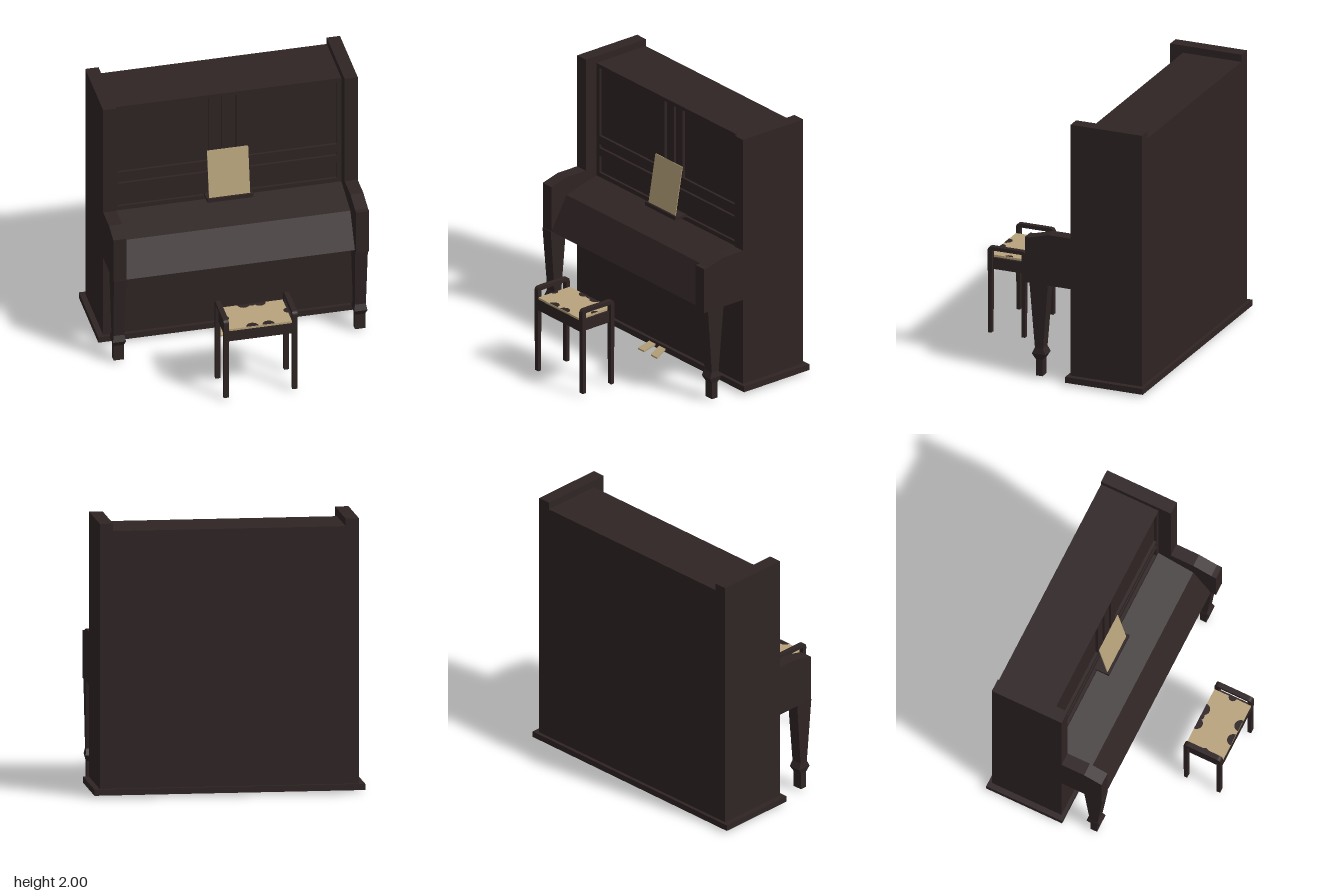
import * as THREE from 'three';

const wood = new THREE.MeshStandardMaterial({ color: 0x2f2424 });
wood.name = 'darkWood';
const cream = new THREE.MeshStandardMaterial({ color: 0xb8a37c, side: THREE.DoubleSide });
cream.name = 'cream';

function add(parent, name, geometry, material = wood) {
  const mesh = new THREE.Mesh(geometry, material);
  mesh.name = name;
  parent.add(mesh);
  return mesh;
}

// Box given by its limits on each axis
function span(parent, name, [x0, x1], [y0, y1], [z0, z1], material) {
  const g = new THREE.BoxGeometry(x1 - x0, y1 - y0, z1 - z0);
  g.translate((x0 + x1) / 2, (y0 + y1) / 2, (z0 + z1) / 2);
  return add(parent, name, g, material);
}

const polygon = (points) => new THREE.Shape(points.map(([a, b]) => new THREE.Vector2(a, b)));

// Outline in (z, y), extruded along x from x0 to x1
function sideExtrude(shape, x0, x1) {
  const g = new THREE.ExtrudeGeometry(shape, { depth: x1 - x0, bevelEnabled: false, curveSegments: 6 });
  g.rotateY(-Math.PI / 2);
  g.translate(x1, 0, 0);
  return g;
}

// Tapered square leg made of stacked rectangular sections [y, halfX, halfZ]
function legGeometry(sections) {
  const pos = [];
  const ring = ([y, a, b]) => [[-a, y, b], [a, y, b], [a, y, -b], [-a, y, -b]];
  const quad = (a, b, c, d) => pos.push(...a, ...b, ...c, ...a, ...c, ...d);
  const rings = sections.map(ring);
  for (let i = 0; i < rings.length - 1; i++) {
    for (let k = 0; k < 4; k++) {
      const n = (k + 1) % 4;
      quad(rings[i][k], rings[i][n], rings[i + 1][n], rings[i + 1][k]);
    }
  }
  const [a, b, c, d] = rings[0];
  quad(d, c, b, a);
  quad(...rings[rings.length - 1]);
  const g = new THREE.BufferGeometry();
  g.setAttribute('position', new THREE.Float32BufferAttribute(pos, 3));
  g.computeVertexNormals();
  return g;
}

function buildCase(root) {
  const group = new THREE.Group();
  group.name = 'pianoCase';
  root.add(group);
  span(group, 'plinth', [-0.985, 0.985], [0.02, 0.065], [-0.765, -0.155]);
  span(group, 'lowerCase', [-0.845, 0.845], [0.065, 0.74], [-0.74, -0.182]);
  span(group, 'upperCase', [-0.845, 0.845], [0.74, 1.93], [-0.74, -0.3]);
  span(group, 'lid', [-0.845, 0.845], [1.93, 1.945], [-0.74, -0.28]);
  for (const s of [-1, 1]) {
    const xs = [s * 0.845, s * 0.943].sort((a, b) => a - b);
    span(group, 'sidePanel', xs, [0.065, 2], [-0.74, -0.18]);
  }

  // Front frame with sunken panels and grooves
  const frame = polygon([[-0.845, 1.04], [0.845, 1.04], [0.845, 1.93], [-0.845, 1.93]]);
  const openings = [
    [-0.81, -0.14, 1.38, 1.918], [0.135, 0.81, 1.38, 1.918],
    [-0.07, -0.038, 1.38, 1.918], [0.035, 0.067, 1.38, 1.918],
    [-0.81, 0.81, 1.283, 1.315], [-0.81, 0.81, 1.088, 1.222],
  ];
  for (const [x0, x1, y0, y1] of openings) {
    frame.holes.push(new THREE.Path([[x0, y0], [x0, y1], [x1, y1], [x1, y0]].map((p) => new THREE.Vector2(...p))));
  }
  const frameGeo = new THREE.ExtrudeGeometry(frame, { depth: 0.022, bevelEnabled: false });
  frameGeo.translate(0, 0, -0.302);
  add(group, 'frontFrame', frameGeo);

  // Sloping key cover
  const cover = polygon([[-0.3, 0.73], [0.14, 0.73], [0, 0.98], [-0.28, 1.055], [-0.3, 1.055]]);
  add(group, 'keyCover', sideExtrude(cover, -0.845, 0.845));

  // Arms; the left one reaches a little further forward
  const rightArm = polygon([[-0.19, 0.73], [0.14, 0.73], [0.14, 1.082], [0, 1.12], [-0.19, 1.12]]);
  const leftArm = polygon([[-0.19, 0.73], [0.182, 0.73], [0.182, 1.078], [0.145, 1.08], [0, 1.12], [-0.19, 1.12]]);
  add(group, 'rightArm', sideExtrude(rightArm, -0.943, -0.845));
  add(group, 'leftArm', sideExtrude(leftArm, 0.845, 0.941));

  // Front legs with a knuckle above the foot
  const leg = legGeometry([
    [0.02, 0.038, 0.026], [0.145, 0.038, 0.026], [0.19, 0.048, 0.053],
    [0.235, 0.041, 0.032], [0.73, 0.047, 0.072],
  ]);
  for (const s of [-1, 1]) add(group, 'frontLeg', leg).position.set(s * 0.894, 0, 0.073);
}

function buildMusicStand(root) {
  const group = new THREE.Group();
  group.name = 'musicStand';
  root.add(group);
  span(group, 'shelf', [-0.17, 0.17], [1.085, 1.105], [-0.285, -0.18]);
  span(group, 'shelfLip', [-0.17, 0.17], [1.105, 1.115], [-0.195, -0.18]);
  // Leaning sheet
  const tilt = Math.atan2(0.065, 0.37);
  const sheet = add(group, 'sheetMusic', new THREE.BoxGeometry(0.305, 0.376, 0.006), cream);
  sheet.position.set(-0.002, 1.293, -0.233);
  sheet.rotation.x = -tilt;
}

function buildPedals(root) {
  for (const s of [-1, 1]) {
    // Skewed plate splaying outward toward the tip
    const g = new THREE.BoxGeometry(0.072, 0.012, 0.1);
    const p = g.attributes.position;
    for (let i = 0; i < p.count; i++) {
      const t = p.getZ(i) / 0.1;
      p.setX(i, p.getX(i) + s * 0.02 * t);
      p.setY(i, p.getY(i) - 0.038 * t);
    }
    g.computeVertexNormals();
    add(root, 'pedal', g, cream).position.set(s * 0.064, 0.025, -0.112);
  }
}

function buildStool(root) {
  const group = new THREE.Group();
  group.name = 'stool';
  group.position.z = 0.618;
  root.add(group);

  // Each end is an arch of two legs and a rounded handrail
  const arch = new THREE.Shape();
  arch.moveTo(-0.145, 0.02);
  arch.lineTo(-0.118, 0.02);
  arch.lineTo(-0.116, 0.655);
  arch.lineTo(0.116, 0.655);
  arch.lineTo(0.118, 0.02);
  arch.lineTo(0.145, 0.02);
  arch.lineTo(0.149, 0.65);
  arch.quadraticCurveTo(0.149, 0.683, 0.116, 0.683);
  arch.lineTo(-0.116, 0.683);
  arch.quadraticCurveTo(-0.149, 0.683, -0.149, 0.65);
  for (const x of [-0.273, 0.235]) add(group, 'endArch', sideExtrude(arch, x, x + 0.038));

  span(group, 'seatFrame', [-0.25, 0.25], [0.505, 0.592], [-0.147, 0.147]);
  span(group, 'cushion', [-0.232, 0.232], [0.592, 0.608], [-0.147, 0.147], cream);

  // Dark scallops along the cushion edge: [x, z, radius, facing angle]
  const scallops = [
    [-0.06, 0.147, 0.045, 0], [0.06, 0.147, 0.045, 0],
    [-0.06, -0.147, 0.045, Math.PI], [0, -0.147, 0.03, Math.PI], [0.06, -0.147, 0.045, Math.PI],
    [-0.232, 0, 0.03, -Math.PI / 2], [0.232, 0, 0.03, Math.PI / 2],
  ];
  for (const [x, z, r, turn] of scallops) {
    const g = new THREE.CircleGeometry(r, 12, 0, Math.PI);
    g.rotateX(-Math.PI / 2);
    g.rotateY(turn);
    add(group, 'cushionScallop', g).position.set(x, 0.61, z);
  }
}

export function createModel() {
  const root = new THREE.Group();
  root.name = 'uprightPianoWithStool';
  buildCase(root);
  buildMusicStand(root);
  buildPedals(root);
  buildStool(root);
  return root;
}
